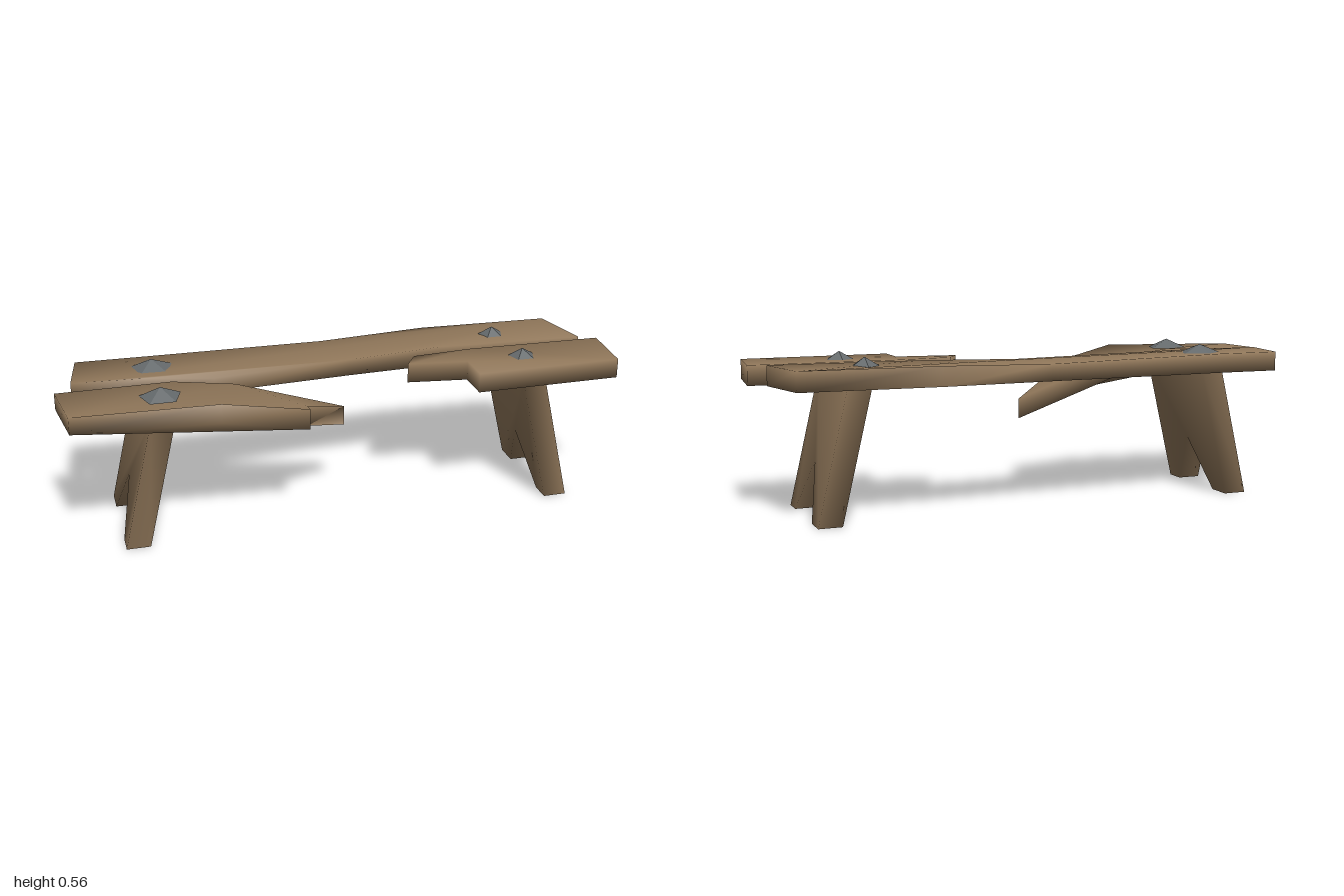
import * as THREE from 'three';

const wood = new THREE.MeshStandardMaterial({ color: 0x8f7659 });
wood.name = 'weathered wood';
const iron = new THREE.MeshStandardMaterial({ color: 0x666b6d });
iron.name = 'dull iron';

// Solid between two matching loops of an outline; corners are shared, so shading is soft.
// place(point, side) returns [x, y, z] for side 0 (lower) or 1 (upper).
function slab(name, outline, place) {
  let pts = outline;
  let flat = pts.map(p => new THREE.Vector2(p[0], p[1]));
  if (THREE.ShapeUtils.isClockWise(flat)) {
    pts = [...pts].reverse();
    flat = [...flat].reverse();
  }
  const n = pts.length;
  const positions = [0, 1].flatMap(side => pts.flatMap(p => place(p, side)));
  const index = [];
  for (const [a, b, c] of THREE.ShapeUtils.triangulateShape(flat, [])) {
    index.push(a + n, b + n, c + n, c, b, a);
  }
  for (let i = 0; i < n; i++) {
    const j = (i + 1) % n;
    index.push(i, j, j + n, i, j + n, i + n);
  }
  const geometry = new THREE.BufferGeometry();
  geometry.setAttribute('position', new THREE.Float32BufferAttribute(positions, 3));
  geometry.setIndex(index);
  geometry.computeVertexNormals();
  const mesh = new THREE.Mesh(geometry, wood);
  mesh.name = name;
  return mesh;
}

// Plank outline points are [z, x, top y, bottom y].
const plank = (name, outline) => slab(name, outline,
  ([z, x, top = 0.53, bottom = 0.46], side) => [x, side ? top : bottom, z]);

// Splayed leg board with a V cut; sign is the end of the bench it stands at.
function leg(name, sign) {
  const outline = [[0, 0.21], [0.475, 0.21], [0.475, -0.21], [0, -0.21],
    [0, -0.12], [0.19, 0.005], [0, 0.135]];
  const footX = sign > 0 ? 0.78 : -0.77;
  return slab(name, outline, ([y, z], side) =>
    [footX - sign * 0.235 * y + (side ? 0.042 : -0.042), y, z]);
}

// Five-sided pointed nail head
function nail(name, x, z, radius) {
  const geometry = new THREE.ConeGeometry(radius, 0.034, 5).toNonIndexed();
  geometry.computeVertexNormals();
  const mesh = new THREE.Mesh(geometry, iron);
  mesh.name = name;
  mesh.position.set(x, 0.541, z);
  mesh.rotation.y = Math.PI; // one corner points to the back
  return mesh;
}

export function createModel() {
  const bench = new THREE.Group();
  bench.name = 'brokenBench';

  bench.add(plank('backPlank', [
    [-0.245, -0.91], [-0.24, -0.68], [-0.255, 0, 0.52], [-0.27, 0.4], [-0.25, 0.89],
    [-0.022, 0.94], [-0.055, 0.4], [-0.04, 0.05, 0.52], [0.005, -0.45, 0.518, 0.465],
    [-0.03, -0.7], [-0.05, -0.94],
  ]));

  // Snapped half that sags towards the break
  bench.add(plank('saggingFrontPlank', [
    [0.005, -1, 0.52], [0.025, -0.6], [0.03, -0.38, 0.5, 0.43],
    [0.02, 0.015, 0.367, 0.295], [0.14, -0.15, 0.435, 0.36], [0.225, -0.16, 0.46, 0.385],
    [0.265, -0.47], [0.228, -0.97, 0.522],
  ]));

  // Shorter snapped half
  bench.add(plank('shortFrontPlank', [
    [0.01, 0.28], [-0.008, 0.5], [0.005, 1], [0.23, 0.98],
    [0.235, 0.45], [0.11, 0.45], [0.08, 0.235],
  ]));

  bench.add(leg('leftLeg', 1), leg('rightLeg', -1));

  bench.add(
    nail('backRightNail', -0.65, -0.135, 0.085),
    nail('frontRightNail', -0.655, 0.132, 0.075),
    nail('backLeftNail', 0.635, -0.14, 0.056),
    nail('frontLeftNail', 0.66, 0.103, 0.06),
  );
  return bench;
}
